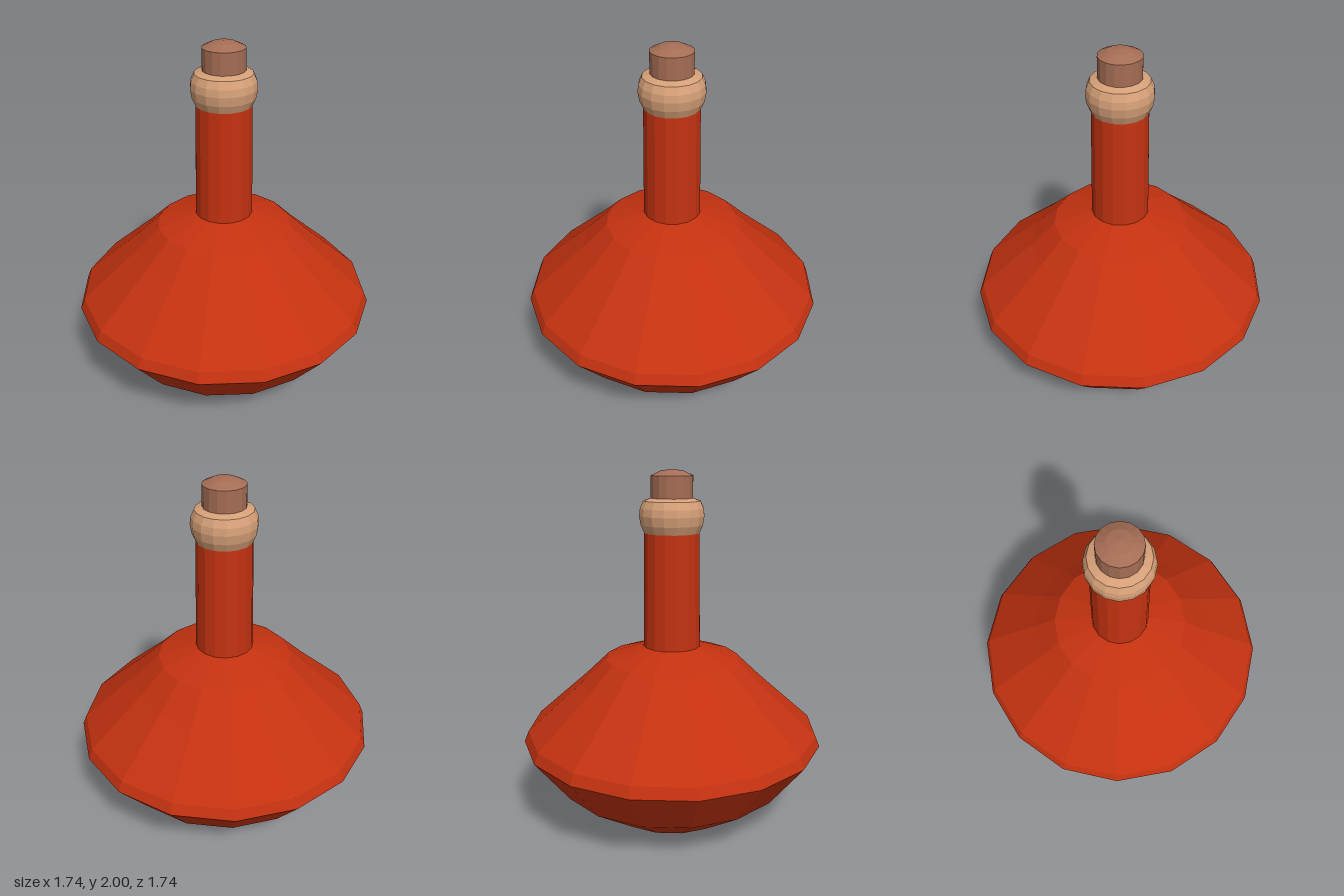
import * as THREE from 'three';

const SIDES = 16;

// Turned part from a [radius, height] profile, listed bottom to top
function turned(name, profile, material) {
  const points = profile.map(([r, y]) => new THREE.Vector2(r, y));
  const mesh = new THREE.Mesh(new THREE.LatheGeometry(points, SIDES), material);
  mesh.name = name;
  return mesh;
}

function flat(name, color) {
  const material = new THREE.MeshStandardMaterial({ color, flatShading: true });
  material.name = name;
  return material;
}

export function createModel() {
  const red = flat('red glass', 0xc43210);
  const tan = flat('tan collar', 0xd6a078);
  const brown = flat('brown cork', 0xa56d55);

  const bottle = new THREE.Group();
  bottle.name = 'bottle';

  // Wide faceted body with its base
  bottle.add(turned('body', [
    [0, 0], [0.38, 0], [0.67, 0.2], [0.87, 0.46], [0.845, 0.52],
    [0.53, 0.8], [0.385, 0.94], [0.165, 1.01],
  ], red));

  // Slightly tapering neck
  bottle.add(turned('neck', [[0.165, 1.01], [0.155, 1.68]], red));

  // Rounded collar around the mouth
  bottle.add(turned('collar', [
    [0.14, 1.655], [0.155, 1.655], [0.175, 1.7], [0.183, 1.75],
    [0.178, 1.79], [0.16, 1.83], [0.118, 1.845], [0.1, 1.845],
  ], tan));

  // Domed stopper
  bottle.add(turned('stopper', [
    [0.118, 1.8], [0.118, 1.965], [0.065, 1.99], [0, 2],
  ], brown));

  return bottle;
}
